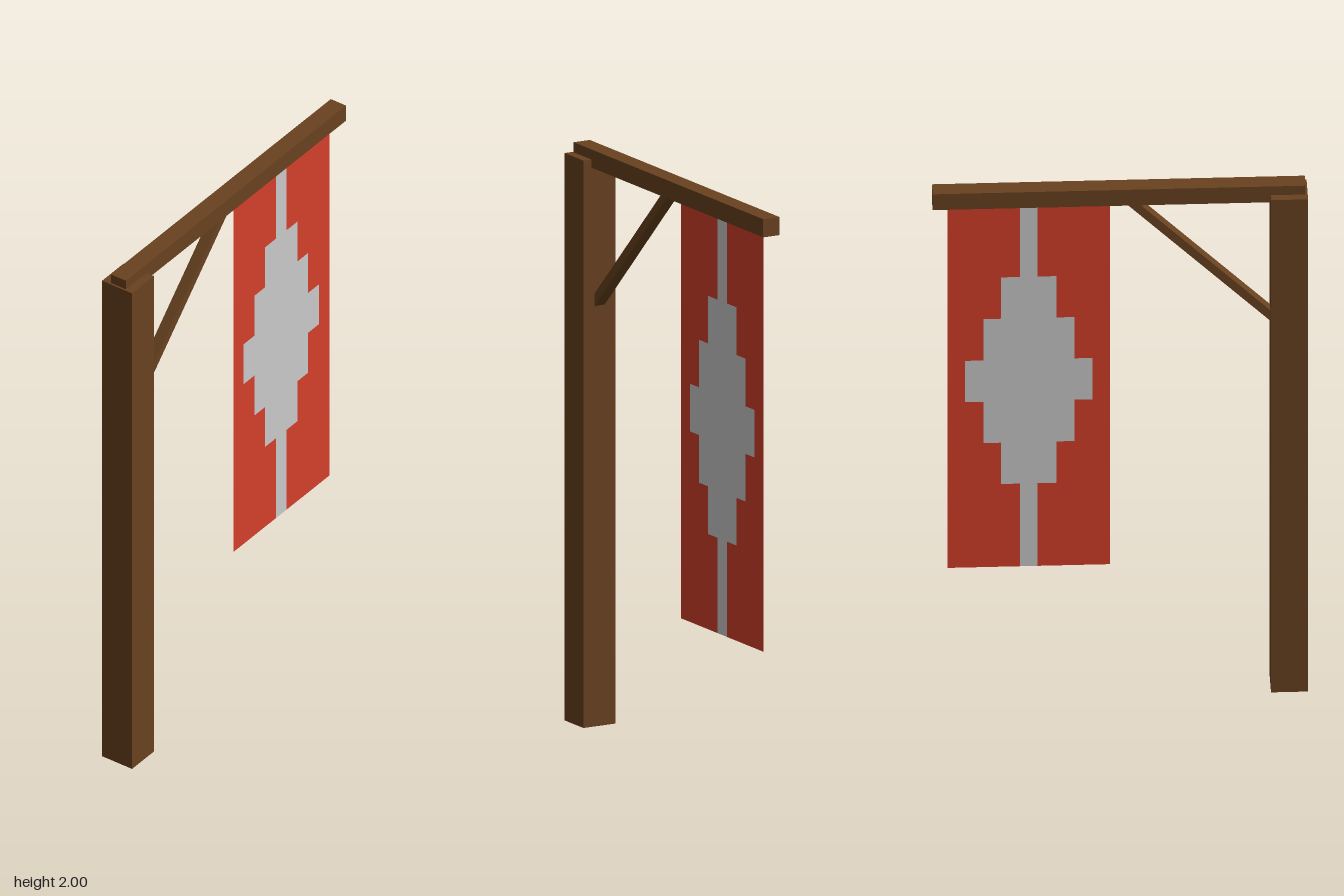
import * as THREE from 'three';

export function createModel() {
  const model = new THREE.Group();
  model.name = 'hangingBanner';

  const wood = new THREE.MeshStandardMaterial({ color: 0x69421f });
  const cloth = new THREE.MeshStandardMaterial({ color: 0xd63f2a, side: THREE.DoubleSide });
  const grey = new THREE.MeshStandardMaterial({ color: 0xcccccc, side: THREE.DoubleSide });

  const add = (name, geometry, material, x, y, z = 0) => {
    const mesh = new THREE.Mesh(geometry, material);
    mesh.name = name;
    mesh.position.set(x, y, z);
    model.add(mesh);
    return mesh;
  };

  // Timber frame: post, overhanging beam and diagonal brace
  add('post', new THREE.BoxGeometry(0.125, 1.965, 0.125), wood, -0.57, 0.9825);
  add('beam', new THREE.BoxGeometry(1.255, 0.063, 0.063), wood, 0.0025, 1.9685);

  const low = new THREE.Vector2(-0.53, 1.455);
  const high = new THREE.Vector2(-0.025, 1.955);
  const brace = add('brace', new THREE.BoxGeometry(low.distanceTo(high), 0.03, 0.04), wood,
    (low.x + high.x) / 2, (low.y + high.y) / 2);
  brace.rotation.z = Math.atan2(high.y - low.y, high.x - low.x);

  // Stepped emblem outline: [half width, top of step], from the hem upward
  const bottom = 0.487, top = 1.94, halfWidth = 0.274, centreX = 0.305;
  const steps = [[0.03, 0.817], [0.093, 0.982], [0.153, 1.147], [0.215, 1.312],
    [0.153, 1.477], [0.093, 1.642], [0.03, top]];
  const edge = [];
  let y = bottom;
  for (const [w, yTop] of steps) {
    edge.push(new THREE.Vector2(w, y), new THREE.Vector2(w, yTop));
    y = yTop;
  }
  const mirrored = edge.map((p) => new THREE.Vector2(-p.x, p.y));

  // Emblem inlaid between the two halves of the cloth, all in one plane
  add('bannerEmblem', new THREE.ShapeGeometry(new THREE.Shape([...edge, ...mirrored.reverse()])),
    grey, centreX, 0);
  for (const [name, side] of [['bannerClothLeft', 1], ['bannerClothRight', -1]]) {
    const outline = [
      new THREE.Vector2(side * halfWidth, top),
      new THREE.Vector2(side * halfWidth, bottom),
      ...edge.map((p) => new THREE.Vector2(side * p.x, p.y)),
    ];
    add(name, new THREE.ShapeGeometry(new THREE.Shape(outline)), cloth, centreX, 0);
  }

  return model;
}
